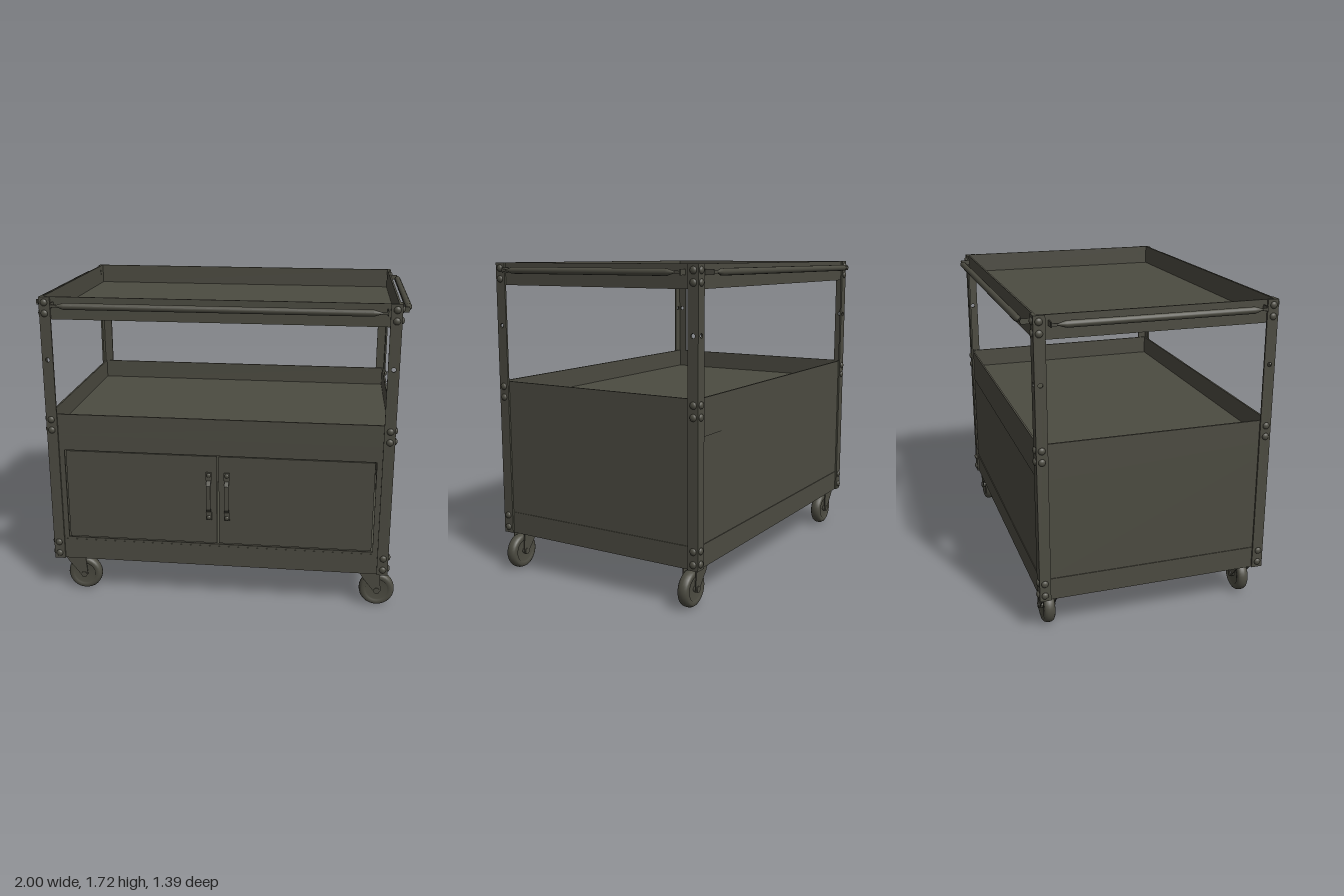
import * as THREE from 'three';

const steel = new THREE.MeshStandardMaterial({ color: 0x4c4b41 });
steel.name = 'olive grey steel';

export function createModel() {
  const model = new THREE.Group();
  model.name = 'utilityCart';

  const add = (parent, name, geo, x = 0, y = 0, z = 0) => {
    const m = new THREE.Mesh(geo, steel);
    m.name = name;
    m.position.set(x, y, z);
    parent.add(m);
    return m;
  };
  const box = (parent, name, w, h, d, x, y, z) =>
    add(parent, name, new THREE.BoxGeometry(w, h, d), x, y, z);
  const group = (name, x = 0, y = 0, z = 0) => {
    const g = new THREE.Group();
    g.name = name;
    g.position.set(x, y, z);
    model.add(g);
    return g;
  };
  const plate = (points, holes, depth) => {
    const s = new THREE.Shape(points.map(p => new THREE.Vector2(...p)));
    s.holes.push(...holes);
    return new THREE.ExtrudeGeometry(s, { depth, bevelEnabled: false, curveSegments: 16 })
      .translate(0, 0, -depth / 2);
  };
  const rect = (x0, y0, x1, y1) => [[x0, y0], [x1, y0], [x1, y1], [x0, y1]];

  // Trays: four thin walls and a floor
  const W = 1.87, D = 1.25, T = 0.01;
  const walls = (name, y0, y1, inset = 0) => {
    const g = group(name), h = y1 - y0, y = (y0 + y1) / 2;
    for (const s of [-1, 1]) {
      box(g, 'longWall', W - 2 * inset, h, T, 0, y, s * (D / 2 - T / 2 - inset));
      box(g, 'endWall', T, h, D - 2 * T - 2 * inset, s * (W / 2 - T / 2 - inset), y, 0);
    }
    return g;
  };
  for (const [name, y0] of [['topTray', 1.6], ['middleTray', 0.955], ['bottomTray', 0.21]]) {
    const g = walls(name, y0, y0 + 0.12);
    box(g, 'floor', W - 2 * T, T, D - 2 * T, 0, y0 + T / 2, 0);
  }

  // Cabinet: upper band, side and back panels, front frame
  walls('cabinetBand', 0.88, 0.955, 0.001);
  const cabinet = group('cabinet');
  for (const s of [-1, 1])
    box(cabinet, 'sidePanel', T, 0.55, D - 0.03, s * (W / 2 - 0.009), 0.605, 0);
  box(cabinet, 'backPanel', W - 0.03, 0.55, T, 0, 0.605, -D / 2 + 0.009);
  const opening = new THREE.Path(rect(-0.857, 0.342, 0.857, 0.868).map(p => new THREE.Vector2(...p)));
  add(cabinet, 'frontFrame', plate(rect(-0.92, 0.33, 0.92, 0.88), [opening], T), 0, 0, D / 2 - 0.006);

  // Doors with bow handles
  const bow = [[0, 0.14], [0, 0.085], [0.022, 0.065], [0.022, -0.065], [0, -0.085], [0, -0.14],
    [0.008, -0.14], [0.009, -0.092], [0.032, -0.07], [0.032, 0.07], [0.009, 0.092], [0.008, 0.14]];
  const bowGeo = plate(bow, [], 0.024).rotateY(-Math.PI / 2);
  for (const s of [-1, 1]) {
    box(cabinet, 'door', 0.845, 0.515, 0.014, s * 0.4275, 0.605, D / 2 - 0.012);
    const h = group('doorHandle', s * 0.05, 0.63, D / 2 - 0.005);
    add(h, 'grip', bowGeo);
    for (const t of [-1, 1]) {
      box(h, 'foot', 0.032, 0.045, 0.009, 0, t * 0.118, 0.005);
      add(h, 'handleBolt', new THREE.SphereGeometry(0.013, 12, 8), 0, t * 0.125, 0.009).scale.z = 0.6;
    }
  }

  // Angle-iron legs with a round hole in each flange, and domed bolts
  const hole = new THREE.Path();
  hole.absarc(0, 1.38, 0.012, 0, Math.PI * 2, true);
  const flange = plate(rect(-0.03, 0.21, 0.03, 1.72), [hole], T);
  const sideFlange = flange.clone().rotateY(Math.PI / 2);
  const dome = new THREE.SphereGeometry(0.019, 14, 5, 0, Math.PI * 2, 0, Math.PI / 2).scale(1, 0.65, 1);
  for (const sx of [-1, 1]) for (const sz of [-1, 1]) {
    const leg = group('leg');
    add(leg, 'wideFlange', flange, sx * 0.915, 0, sz * 0.63);
    add(leg, 'sideFlange', sideFlange, sx * 0.94, 0, sz * 0.605);
    for (const y of [1.69, 1.632, 1.045, 0.985, 0.31, 0.242]) {
      add(leg, 'bolt', dome, sx * 0.917, y, sz * 0.635).rotation.x = sz * Math.PI / 2;
      add(leg, 'bolt', dome, sx * 0.945, y, sz * 0.607).rotation.z = -sx * Math.PI / 2;
    }
  }

  // Push bars on all four sides, tapered at the ends and held by thin straps
  const pushBar = (half, reach, angle) => {
    const g = group('pushBar', 0, 1.68, 0);
    g.rotation.y = angle;
    const profile = [[0.004, -half], [0.018, -half + 0.045], [0.018, half - 0.045], [0.004, half]];
    add(g, 'bar', new THREE.LatheGeometry(profile.map(p => new THREE.Vector2(...p)), 16)
      .rotateZ(Math.PI / 2), 0, 0, reach);
    const inner = reach - 0.06;
    for (const s of [-1, 1]) {
      const x = s * (half + 0.028);
      box(g, 'strap', 0.006, 0.028, 0.06, x, 0, inner + 0.03);
      box(g, 'strapTip', 0.034, 0.014, 0.006, x - s * 0.016, 0, reach);
      box(g, 'strapFoot', 0.035, 0.028, 0.006, x + s * 0.016, 0, inner + 0.005);
    }
  };
  pushBar(0.842, 0.677, 0);
  pushBar(0.842, 0.677, Math.PI);
  pushBar(0.528, 0.982, Math.PI / 2);
  pushBar(0.528, 0.982, -Math.PI / 2);

  // Swivel casters, all trailing the same way
  const tyre = new THREE.LatheGeometry([[0.001, -0.022], [0.06, -0.022], [0.064, -0.03], [0.082, -0.03],
    [0.091, -0.024], [0.097, -0.012], [0.098, 0], [0.097, 0.012], [0.091, 0.024], [0.082, 0.03],
    [0.064, 0.03], [0.06, 0.022], [0.001, 0.022]].map(p => new THREE.Vector2(...p)), 32)
    .rotateX(Math.PI / 2);
  const forkPlate = plate([[-0.045, 0.2], [-0.03, 0.175], [0.03, 0.1], [0.042, 0.083], [0.062, 0.083],
    [0.074, 0.1], [0.066, 0.2]], [], 0.006);
  for (const sx of [-1, 1]) for (const sz of [-1, 1]) {
    const c = group('caster', sx * 0.84, 0, sz * 0.565);
    box(c, 'mountPlate', 0.112, 0.012, 0.082, 0.01, 0.204, 0);
    for (const s of [-1, 1]) add(c, 'forkPlate', forkPlate, 0, 0, s * 0.038);
    add(c, 'wheel', tyre, 0.052, 0.098, 0);
    add(c, 'axle', new THREE.CylinderGeometry(0.017, 0.017, 0.092, 14).rotateX(Math.PI / 2), 0.052, 0.098, 0);
  }
  return model;
}
